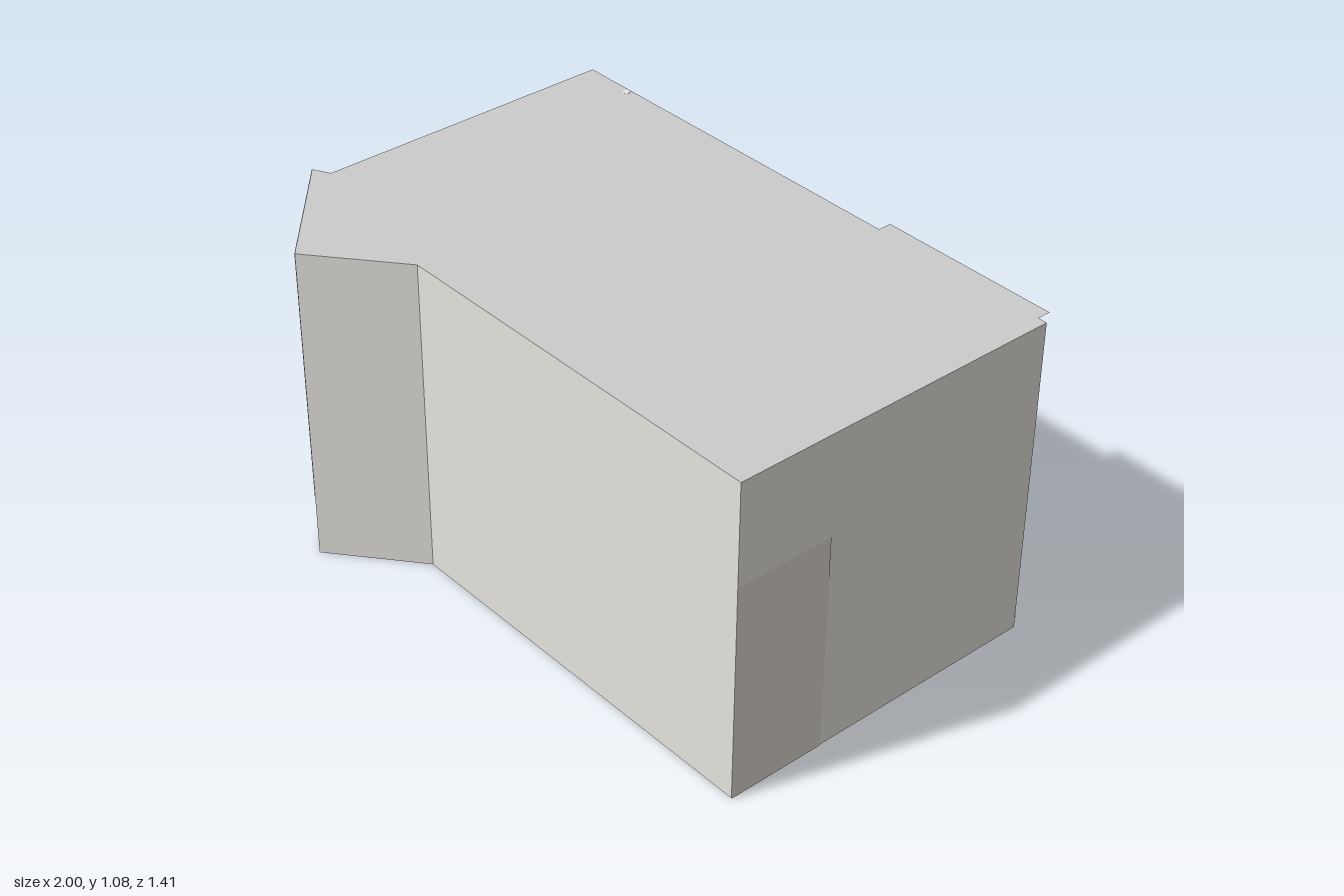
import * as THREE from 'three';

const HEIGHT = 1.08;

const mat = (color) => new THREE.MeshStandardMaterial({ color, side: THREE.DoubleSide });

export function createModel() {
  const room = new THREE.Group();
  room.name = 'room';

  const wallMat = mat(0xe6e4de);
  const ceilingMat = mat(0xbcbcbc);
  const floorMat = mat(0xb8987a);
  const glassMat = mat(0xc2d2e0);
  const doorMat = mat(0xded8d0);
  const blueMat = mat(0xc8d4e2);
  const paleMat = mat(0xece9e2);

  // Upright panel between two plan points [x, z]; its front is on the right-hand side of the run
  function panel(name, a, b, y0, y1, material, offset = 0) {
    const dx = b[0] - a[0], dz = b[1] - a[1];
    const mesh = new THREE.Mesh(new THREE.PlaneGeometry(Math.hypot(dx, dz), y1 - y0), material);
    mesh.rotation.y = Math.atan2(-dz, dx);
    mesh.position.set((a[0] + b[0]) / 2, (y0 + y1) / 2, (a[1] + b[1]) / 2);
    mesh.translateZ(offset);
    mesh.name = name;
    room.add(mesh);
  }

  // Flat slab following a plan outline
  function slab(name, outline, y, material) {
    const shape = new THREE.Shape(outline.map(([x, z]) => new THREE.Vector2(x, -z)));
    const mesh = new THREE.Mesh(new THREE.ShapeGeometry(shape).rotateX(-Math.PI / 2), material);
    mesh.position.y = y;
    mesh.name = name;
    room.add(mesh);
  }

  // Floor and ceiling, reaching out over the window recess at the back
  const bayLeft = [-1, 0.39], bayTip = [-0.635, 0.705], bayRight = [-0.36, 0.475];
  const front = [[-0.945, 0.36], bayLeft, bayTip, bayRight, [1, 0.475], [1, -0.66]];
  const plan = [...front, [0.97, -0.66], [0.97, -0.705], [0.35, -0.705], [0.35, -0.66], [-0.945, -0.66]];
  slab('floor', plan, 0, floorMat);
  slab('ceiling', plan, HEIGHT, ceilingMat);

  // Walls, stepping in and out around the recessed back window
  const walls = [
    ...front,
    [0.97, -0.66], [0.97, -0.61], [0.83, -0.61], [0.83, -0.66],
    [0.53, -0.66], [0.53, -0.61], [0.35, -0.61], [0.35, -0.66],
    [-0.945, -0.66],
  ];
  walls.forEach((a, i) => panel('wall', a, walls[(i + 1) % walls.length], 0, HEIGHT, wallMat));

  // Bay window above a low sill with a raised middle part
  const along = (x) => {
    const t = (x - bayLeft[0]) / (bayTip[0] - bayLeft[0]);
    return [x, bayLeft[1] + t * (bayTip[1] - bayLeft[1])];
  };
  panel('bayWindow', bayLeft, bayTip, 0.215, HEIGHT, glassMat, 0.001);
  panel('baySill', along(-0.79), along(-0.65), 0.2, 0.235, wallMat, 0.002);

  // Flush doors in the side walls and a low hatch in the back wall
  panel('sideDoor', [1, 0.475], [1, 0.14], 0, 0.74, doorMat, 0.002);
  panel('blueDoor', [-0.945, -0.55], [-0.945, -0.22], 0, 0.74, blueMat, 0.002);
  panel('backHatch', [-0.48, -0.66], [-0.74, -0.66], 0, 0.35, paleMat, 0.002);

  // Thin pipe in the back corner, just reaching through the ceiling
  const pipe = new THREE.Mesh(new THREE.CylinderGeometry(0.012, 0.012, HEIGHT, 12), paleMat);
  pipe.position.set(-0.76, HEIGHT / 2 + 0.001, -0.645);
  pipe.name = 'pipe';
  room.add(pipe);

  return room;
}
